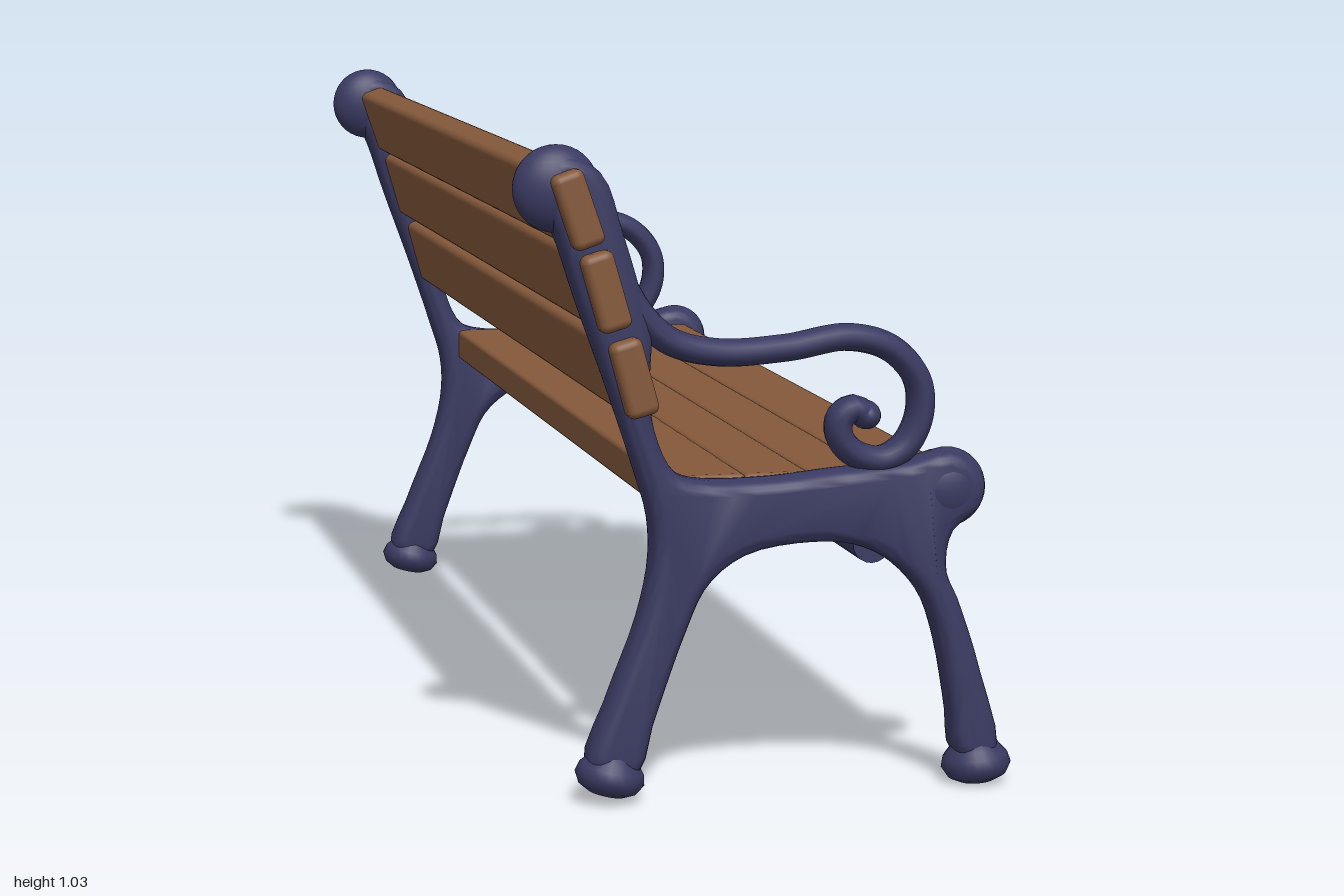
import * as THREE from 'three';
import { toCreasedNormals } from 'three/addons/utils/BufferGeometryUtils.js';
import { RoundedBoxGeometry } from 'three/addons/geometries/RoundedBoxGeometry.js';

const iron = new THREE.MeshStandardMaterial({ color: 0x3a3a62 });
iron.name = 'navyIron';
const wood = new THREE.MeshStandardMaterial({ color: 0x85593b });
wood.name = 'brownWood';

const FRAME_Z = 0.928;

function add(parent, name, geometry, material, x = 0, y = 0, z = 0, tilt = 0) {
  const mesh = new THREE.Mesh(geometry, material);
  mesh.name = name;
  mesh.position.set(x, y, z);
  mesh.rotation.z = tilt;
  parent.add(mesh);
  return mesh;
}

// Outline of one cast side: back post, legs and seat rail
const OUTLINE = [
  [-0.375, 0.98], [-0.338, 0.89], [-0.305, 0.79], [-0.255, 0.65], [-0.212, 0.52], [-0.192, 0.45],
  [-0.19, 0.38], [-0.21, 0.29], [-0.257, 0.17], [-0.293, 0.06], [-0.215, 0.05],
  [-0.187, 0.13], [-0.135, 0.27], [-0.1, 0.34], [-0.04, 0.385], [0.06, 0.402], [0.14, 0.395],
  [0.2, 0.365], [0.25, 0.31], [0.275, 0.24], [0.295, 0.13], [0.308, 0.05], [0.372, 0.05],
  [0.345, 0.19], [0.31, 0.3], [0.29, 0.35], [0.3, 0.41], [0.345, 0.45], [0.35, 0.5],
  [0.3, 0.54], [0.22, 0.525], [0.1, 0.515], [0, 0.506], [-0.12, 0.509], [-0.155, 0.525],
  [-0.185, 0.59], [-0.192, 0.66], [-0.19, 0.74], [-0.205, 0.8], [-0.235, 0.9], [-0.268, 0.99],
  [-0.33, 1.02],
];

// Centre line of the arm rest, ending in a scroll
const ARM = [
  [-0.24, 0.83], [-0.2, 0.765], [-0.155, 0.725], [-0.08, 0.706], [0.03, 0.71], [0.13, 0.724],
  [0.2, 0.704], [0.243, 0.655], [0.248, 0.6], [0.225, 0.55], [0.185, 0.528],
  [0.14, 0.54], [0.117, 0.568], [0.118, 0.596], [0.14, 0.611], [0.16, 0.598],
];

function curve(points, closed = false) {
  return new THREE.CatmullRomCurve3(points.map(([x, y]) => new THREE.Vector3(x, y, 0)), closed, 'centripetal');
}

function castingGeometry(side) {
  const pts = curve(OUTLINE, true).getPoints(150).slice(0, -1);
  const shape = new THREE.Shape(pts.map((p) => new THREE.Vector2(p.x, p.y)));
  const geo = new THREE.ExtrudeGeometry(shape, {
    depth: 0.022, bevelEnabled: true, bevelThickness: 0.027, bevelSize: 0.022, bevelOffset: -0.022, bevelSegments: 5,
  });
  geo.translate(0, 0, -0.011);
  // The legs splay slightly outward
  const p = geo.attributes.position;
  for (let i = 0; i < p.count; i++) {
    const splay = Math.max(0, 0.4 - p.getY(i)) * 0.035;
    p.setZ(i, p.getZ(i) + side * splay);
  }
  return toCreasedNormals(geo, 0.8);
}

function footGeometry() {
  const profile = [[0, -0.032], [0.03, -0.031], [0.047, -0.022], [0.056, -0.006], [0.052, 0.01],
    [0.042, 0.022], [0.034, 0.036], [0.03, 0.06]];
  return new THREE.LatheGeometry(profile.map(([r, y]) => new THREE.Vector2(r, y)), 24);
}

function createSide(side) {
  const group = new THREE.Group();
  group.name = side > 0 ? 'leftSideFrame' : 'rightSideFrame';
  group.position.z = side * FRAME_Z;

  add(group, 'casting', castingGeometry(side), iron);

  // Rounded ends of the post and seat rail
  const knob = new THREE.SphereGeometry(1, 28, 18);
  add(group, 'postKnob', knob, iron, -0.337, 0.967).scale.set(0.068, 0.068, 0.042);
  add(group, 'railKnob', knob, iron, 0.293, 0.48).scale.set(0.064, 0.064, 0.043);

  // Arm rest, wider across than tall
  add(group, 'armRest', new THREE.TubeGeometry(curve(ARM), 110, 0.022, 12), iron).scale.z = 1.55;
  add(group, 'scrollTip', knob, iron, 0.16, 0.6).scale.set(0.023, 0.023, 0.035);

  // Feet
  add(group, 'backFoot', footGeometry(), iron, -0.255, 0.046, side * 0.013, -0.22);
  add(group, 'frontFoot', footGeometry(), iron, 0.344, 0.036, side * 0.013, 0.1);
  return group;
}

export function createModel() {
  const model = new THREE.Group();
  model.name = 'parkBench';

  for (const side of [-1, 1]) model.add(createSide(side));

  // Back slats: x, y, height, tilt
  const slats = [[-0.312, 0.938, 0.122, 0.33], [-0.268, 0.811, 0.125, 0.28], [-0.224, 0.676, 0.123, 0.27]];
  slats.forEach(([x, y, h, tilt], i) => {
    add(model, `backSlat${i + 1}`, new RoundedBoxGeometry(0.052, h, 1.98, 3, 0.013), wood, x, y, 0, tilt);
  });

  // Seat planks, laid edge to edge
  const edges = [-0.16, -0.03, 0.075, 0.18, 0.31];
  for (let i = 0; i < 4; i++) {
    const w = edges[i + 1] - edges[i];
    add(model, `seatPlank${i + 1}`, new RoundedBoxGeometry(w + 0.002, 0.058, 1.82, 2, 0.008), wood,
      edges[i] + w / 2, 0.48, 0);
  }

  // Cross bar under the seat
  const bar = new THREE.CylinderGeometry(0.031, 0.031, 1.77, 20).rotateX(Math.PI / 2);
  add(model, 'crossBar', bar, iron, 0.185, 0.384);
  return model;
}
